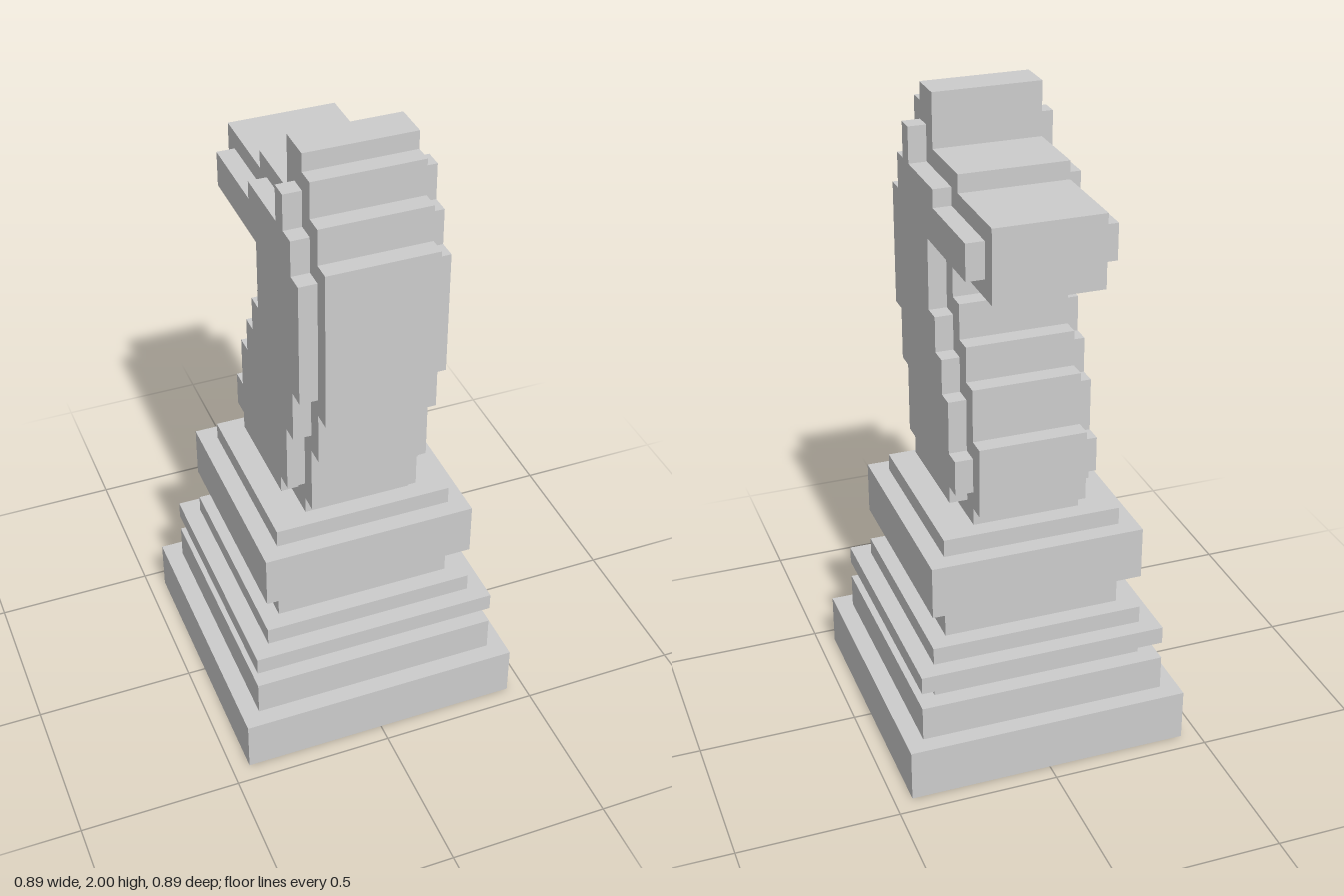
import * as THREE from 'three';

const U = 2 / 36; // one block of the stepped grid
const material = new THREE.MeshStandardMaterial({ color: 0xcccccc, flatShading: true });

// Stepped side silhouette from [z, top] runs: up the front edge, down the back edge
function steppedShape(bottom, front, back) {
  const points = [];
  const addEdge = (runs) => {
    let y = bottom;
    const edge = [];
    for (const [z, top] of runs) {
      edge.push([z, y], [z, top]);
      y = top;
    }
    return edge;
  };
  points.push(...addEdge(front), ...addEdge(back).reverse());
  return new THREE.Shape(points.map(([z, y]) => new THREE.Vector2(z * U, y * U)));
}

// Slab of the silhouette, spanning x0..x1 blocks
function slab(name, shape, x0, x1) {
  const geometry = new THREE.ExtrudeGeometry(shape, { depth: (x1 - x0) * U, bevelEnabled: false });
  geometry.rotateY(-Math.PI / 2);
  geometry.translate(x1 * U, 0, 0);
  const mesh = new THREE.Mesh(geometry, material);
  mesh.name = name;
  return mesh;
}

export function createModel() {
  const model = new THREE.Group();
  model.name = 'chessKnight';

  // Square pedestal: [bottom, top, half width]
  const pedestal = new THREE.Group();
  pedestal.name = 'pedestal';
  const tiers = [
    [0, 3, 8], [3, 5, 7], [5, 6, 6], [6, 7, 7],
    [7, 8, 6], [8, 10, 5], [10, 13, 6], [13, 14, 5],
  ];
  tiers.forEach(([y0, y1, half], i) => {
    const tier = new THREE.Mesh(new THREE.BoxGeometry(2 * half * U, (y1 - y0) * U, 2 * half * U), material);
    tier.position.y = ((y0 + y1) / 2) * U;
    tier.name = `pedestalTier${i + 1}`;
    pedestal.add(tier);
  });
  model.add(pedestal);

  // Neck, head and muzzle
  const core = steppedShape(14,
    [[4, 15], [5, 19], [6, 22], [7, 31], [6, 33], [5, 35], [4, 36]],
    [[-4, 15], [-5, 19], [-4, 22], [-3, 24], [-2, 26], [-1, 28], [-7, 32], [-2, 33], [2, 36]]);
  model.add(slab('horseBody', core, -3, 3));

  // Raised cheek and neck panels on both sides
  const panel = steppedShape(15,
    [[3, 16], [4, 20], [5, 23], [6, 30], [5, 32], [4, 34]],
    [[-3, 16], [-4, 18], [-3, 21], [-2, 23], [-1, 25], [0, 29], [-6, 31], [-1, 32], [3, 34]]);
  model.add(slab('leftPanel', panel, 3, 4), slab('rightPanel', panel, -4, -3));

  return model;
}
